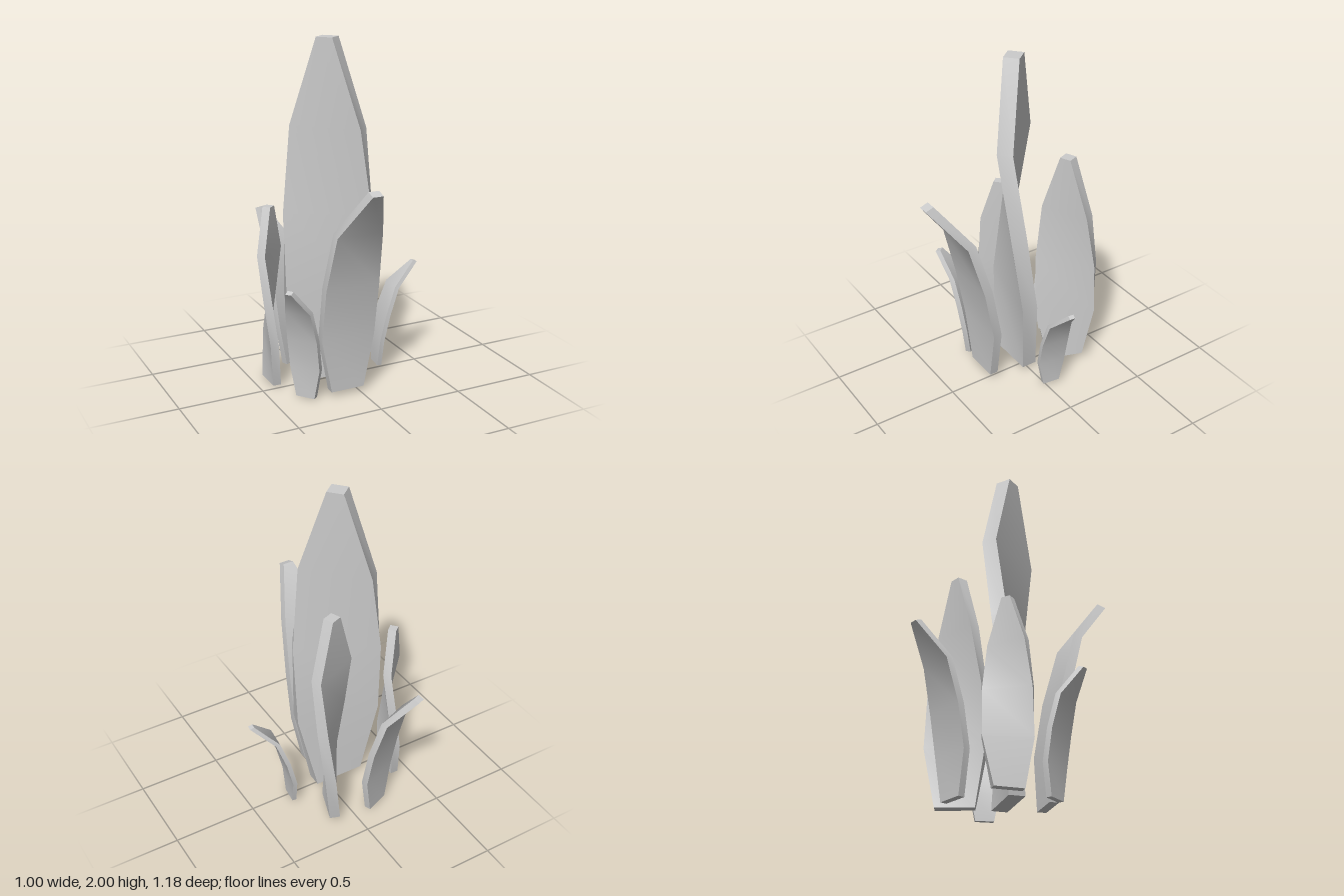
import * as THREE from 'three';
import { toCreasedNormals } from 'three/addons/utils/BufferGeometryUtils.js';

const material = new THREE.MeshStandardMaterial({ color: 0xcccccc });
const rad = THREE.MathUtils.degToRad;

// Values for the five cross-sections of a blade, from base to tip
const WIDTH = [0.62, 1, 1, 0.84, 0.19];
const TWIST = [0, 13, 28, 47, 49];
const LEAN = [0, 0.02, 0.18, 0.43, 1];
const TILT = [0, 4, 10, 16, 20];
const BENT_HEIGHT = [0, 0.26, 0.52, 0.785, 1];

// Turns the diagonal of every quad, so that twisted sides fold inwards
function flipDiagonals(geometry) {
  const index = geometry.index;
  for (let i = 0; i < index.count; i += 6) {
    index.setX(i + 2, index.getX(i + 4));
    index.setX(i + 3, index.getX(i));
  }
}

// x, z: base centre; angle: heading of the width in the ground plane;
// lean: how far the tip bends outwards (0 makes an upright twisted blade)
function blade({ name, x, z, y0, y1, width, thick, angle, lean = 0 }) {
  const geometry = new THREE.BoxGeometry(1, 1, 1, 1, 4, 1);
  flipDiagonals(geometry);
  const p = geometry.attributes.position;
  for (let i = 0; i < p.count; i++) {
    const row = Math.round((p.getY(i) + 0.5) * 4);
    const a = rad(angle + (lean ? 0 : TWIST[row]));
    const tilt = lean ? rad(TILT[row]) : 0;
    const side = p.getX(i) * width * WIDTH[row];
    const depth = p.getZ(i) * thick;
    const out = lean * LEAN[row] + depth * Math.cos(tilt);
    const rise = lean ? BENT_HEIGHT[row] : row / 4;
    p.setXYZ(i,
      x + side * Math.cos(a) - out * Math.sin(a),
      y0 + (y1 - y0) * rise - depth * Math.sin(tilt),
      z + side * Math.sin(a) + out * Math.cos(a));
  }
  const mesh = new THREE.Mesh(toCreasedNormals(geometry, rad(35)), material);
  mesh.name = name;
  return mesh;
}

export function createModel() {
  const group = new THREE.Group();
  group.name = 'leafCluster';
  const blades = [
    // Upright twisted blades
    { name: 'centreBlade', x: -0.083, z: 0, y0: 0.03, y1: 2, width: 0.5, thick: 0.09, angle: 0 },
    { name: 'backLeftBlade', x: 0.095, z: -0.24, y0: 0.03, y1: 1.4, width: 0.35, thick: 0.062, angle: 109 },
    { name: 'rightBlade', x: -0.403, z: -0.1, y0: 0.01, y1: 1.065, width: 0.265, thick: 0.048, angle: 90 },
    // Outer leaves bending outwards
    { name: 'frontLeaf', x: -0.08, z: 0.222, y0: 0.03, y1: 1.258, width: 0.325, thick: 0.052, angle: 0, lean: 0.342 },
    { name: 'backLeaf', x: -0.165, z: -0.322, y0: 0, y1: 0.925, width: 0.245, thick: 0.038, angle: 158, lean: 0.262 },
    { name: 'frontRightLeaf', x: -0.307, z: 0.18, y0: 0.005, y1: 0.69, width: 0.185, thick: 0.032, angle: 52, lean: 0.188 },
    { name: 'leftLeaf', x: 0.252, z: -0.03, y0: 0.02, y1: 0.642, width: 0.168, thick: 0.026, angle: -83, lean: 0.234 },
  ];
  for (const b of blades) group.add(blade(b));
  return group;
}
